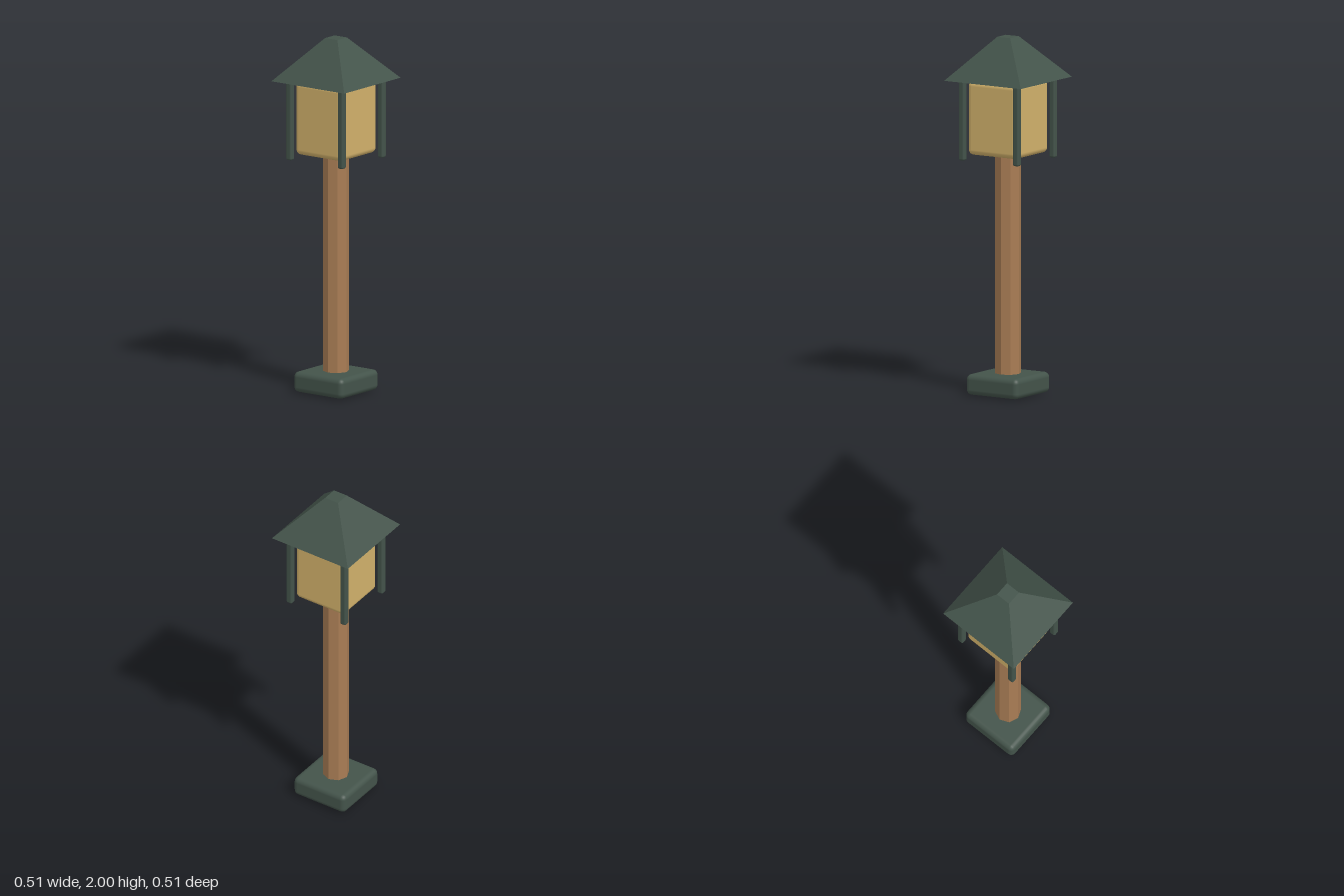
import * as THREE from 'three';
import { RoundedBoxGeometry } from 'three/addons/geometries/RoundedBoxGeometry.js';

export function createModel() {
  const group = new THREE.Group();
  const material = (name, color, flatShading = false) =>
    Object.assign(new THREE.MeshStandardMaterial({ color, flatShading }), { name });
  const green = material('dark green metal', 0x43534a);
  const wood = material('brown wood', 0xa87c54);
  const glow = material('warm lamp glass', 0xd0b06a);

  const add = (name, geometry, mat, x, y, z) => {
    const mesh = new THREE.Mesh(geometry, mat);
    mesh.name = name;
    mesh.position.set(x, y, z);
    group.add(mesh);
    return mesh;
  };
  // Flat facets come from split normals, so each colour keeps one material
  const faceted = (geometry) => {
    const g = geometry.toNonIndexed();
    g.computeVertexNormals();
    return g;
  };

  // Rounded foot and octagonal post
  add('base', new RoundedBoxGeometry(0.344, 0.115, 0.344, 3, 0.03), green, 0, 0.0625, 0);
  add('post', faceted(new THREE.CylinderGeometry(0.072, 0.072, 1.36, 8)), wood, 0, 0.68, 0);

  // Glowing lantern body
  add('lanternBody', new RoundedBoxGeometry(0.328, 0.414, 0.328, 3, 0.03), glow, 0, 1.553, 0);

  // Corner bars hanging from the roof
  const bar = new RoundedBoxGeometry(0.037, 0.458, 0.037, 2, 0.01);
  for (const x of [-1, 1]) {
    for (const z of [-1, 1]) add('cornerBar', bar, green, x * 0.18, 1.546, z * 0.18);
  }

  // Truncated pyramid roof
  const roof = new THREE.CylinderGeometry(0.043 * Math.SQRT2, 0.254 * Math.SQRT2, 0.236, 4);
  roof.rotateY(Math.PI / 4);
  add('roof', faceted(roof), green, 0, 1.882, 0);

  return group;
}
